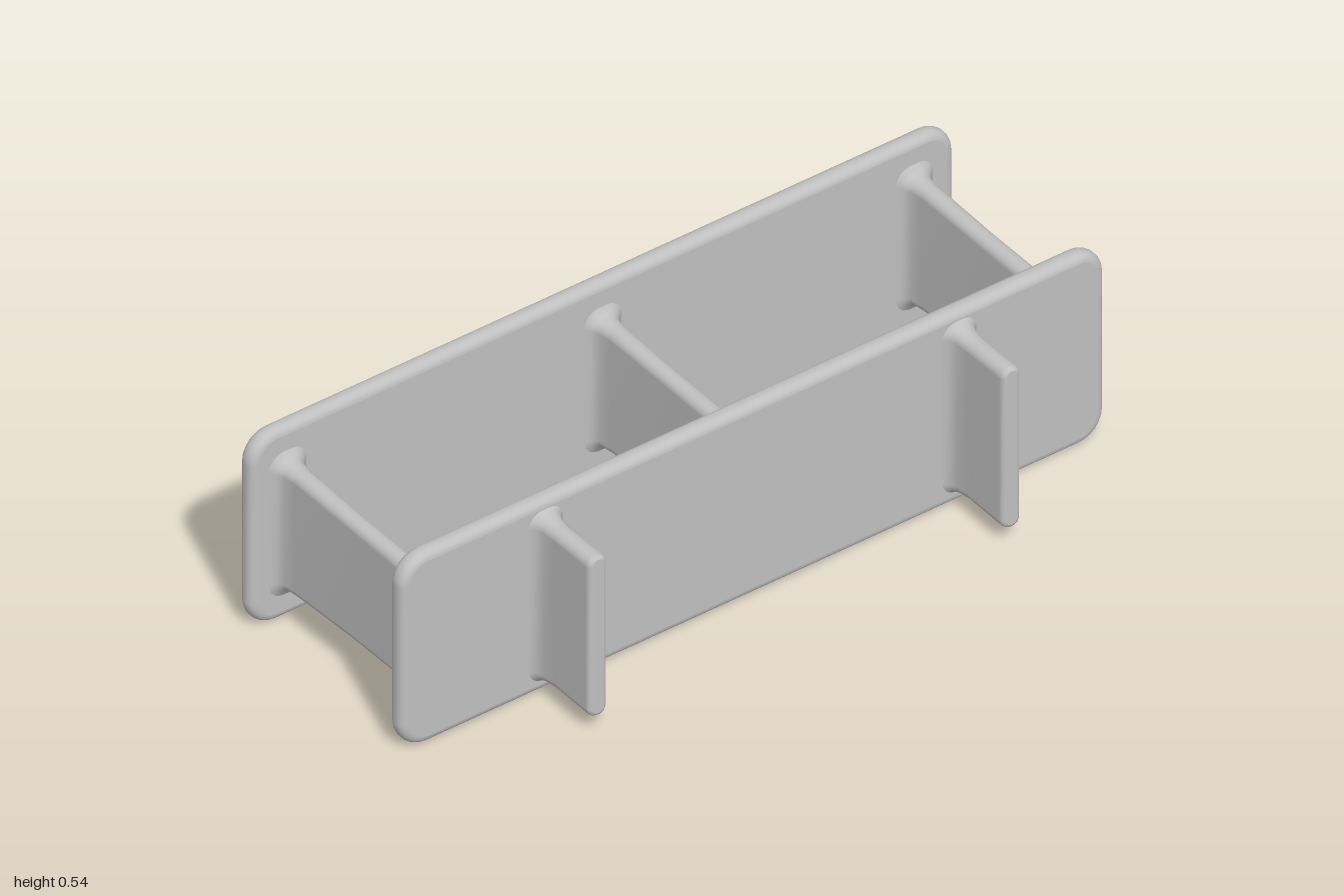
import * as THREE from 'three';

// Rounded-rectangle outline, counter-clockwise seen from +z
function ring(x, halfW, y0, y1, r, steps = 6) {
  const pts = [];
  const corners = [[1, y1 - r], [-1, y1 - r], [-1, y0 + r], [1, y0 + r]];
  corners.forEach(([sx, cy], c) => {
    for (let k = 0; k <= steps; k++) {
      const a = (c + k / steps) * Math.PI / 2;
      pts.push([x + sx * (halfW - r) + r * Math.cos(a), cy + r * Math.sin(a)]);
    }
  });
  return pts;
}

// Skin over sections [z, halfWidth, bottom, top, cornerRadius], ordered back to front
function loft(x, sections) {
  const pos = [], idx = [];
  const rings = sections.map(([z, w, y0, y1, r]) => ring(x, w, y0, y1, r).map(([px, py]) => [px, py, z]));
  const n = rings[0].length;
  rings.forEach(r => r.forEach(p => pos.push(...p)));
  for (let i = 0; i < rings.length - 1; i++) {
    for (let j = 0; j < n; j++) {
      const k = (j + 1) % n, a = i * n + j, b = i * n + k;
      idx.push(a, b, a + n, b, b + n, a + n);
    }
  }
  // flat caps with their own vertices
  [[0, false], [rings.length - 1, true]].forEach(([s, front]) => {
    const [z, , y0, y1] = sections[s];
    const c = pos.length / 3;
    pos.push(x, (y0 + y1) / 2, z);
    rings[s].forEach(p => pos.push(...p));
    for (let j = 0; j < n; j++) {
      const a = c + 1 + j, b = c + 1 + (j + 1) % n;
      idx.push(c, ...(front ? [a, b] : [b, a]));
    }
  });
  const g = new THREE.BufferGeometry();
  g.setAttribute('position', new THREE.Float32BufferAttribute(pos, 3));
  g.setIndex(idx);
  g.computeVertexNormals();
  return g;
}

// Long plate with a rounded rim
function plate(z, thickness) {
  const e = 0.021, steps = 5, h = thickness / 2, back = [], front = [];
  for (let k = 0; k <= steps; k++) {
    const a = k / steps * Math.PI / 2, inset = e * (1 - Math.sin(a)), dz = h - e + e * Math.cos(a);
    const dims = [1 - inset, inset, 0.541 - inset, 0.075 - inset];
    back.push([z - dz, ...dims]);
    front.unshift([z + dz, ...dims]);
  }
  return loft(0, [...back, ...front]);
}

export function createModel() {
  const group = new THREE.Group();
  const grey = new THREE.MeshStandardMaterial({ color: 0xc0c0c0 });
  grey.name = 'plain grey';
  const add = (name, geometry) => {
    const mesh = new THREE.Mesh(geometry, grey);
    mesh.name = name;
    group.add(mesh);
  };

  add('frontPlate', plate(0.185, 0.05));
  add('backPlate', plate(-0.385, 0.048));

  // Cross walls joining the plates, flared into fillets at both ends
  [['rightWall', -0.895], ['middleWall', 0], ['leftWall', 0.885]].forEach(([name, x]) => {
    add(name, loft(x, [
      [-0.37, 0.065, 0.055, 0.49, 0.05],
      [-0.359, 0.05, 0.07, 0.473, 0.04],
      [-0.35, 0.038, 0.085, 0.458, 0.032],
      [-0.335, 0.03, 0.093, 0.452, 0.027],
      [-0.3, 0.026, 0.096, 0.45, 0.024],
      [-0.1, 0.024, 0.104, 0.443, 0.022],
      [0.1, 0.025, 0.105, 0.441, 0.023],
      [0.13, 0.029, 0.102, 0.443, 0.026],
      [0.147, 0.038, 0.092, 0.453, 0.033],
      [0.157, 0.052, 0.075, 0.472, 0.042],
      [0.168, 0.068, 0.052, 0.495, 0.052],
    ]));
  });

  // Upright fins on the front plate, flared at the root
  [['rightFin', -0.59], ['leftFin', 0.585]].forEach(([name, x]) => {
    add(name, loft(x, [
      [0.2, 0.06, 0.025, 0.524, 0.045],
      [0.211, 0.047, 0.033, 0.516, 0.038],
      [0.22, 0.036, 0.038, 0.511, 0.032],
      [0.24, 0.029, 0.043, 0.504, 0.027],
      [0.275, 0.027, 0.047, 0.5, 0.025],
      [0.395, 0.027, 0.045, 0.5, 0.025],
      [0.402, 0.025, 0.046, 0.499, 0.023],
      [0.407, 0.021, 0.049, 0.496, 0.019],
      [0.409, 0.015, 0.054, 0.491, 0.014],
    ]));
  });

  return group;
}
